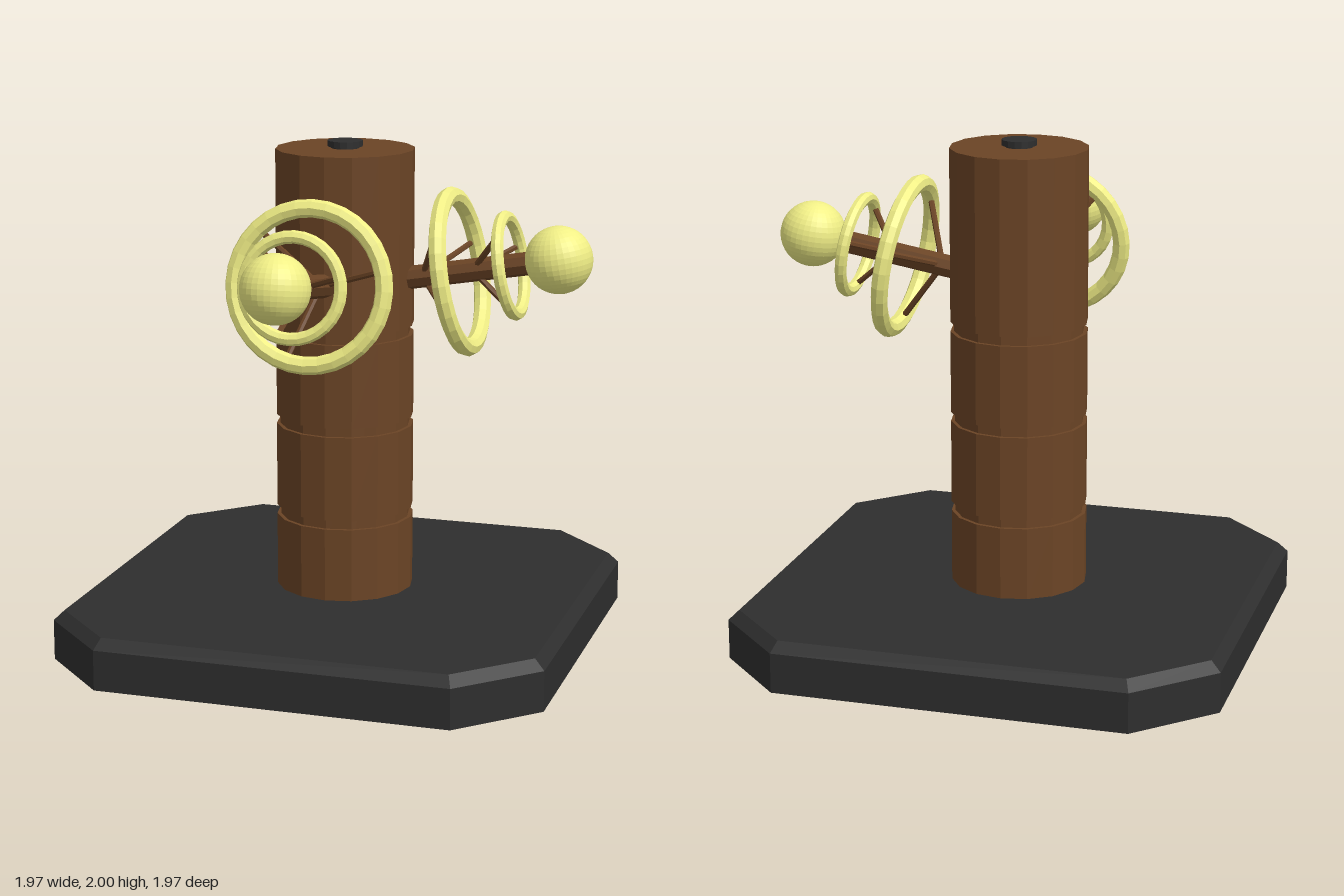
import * as THREE from 'three';

const material = (color) => new THREE.MeshStandardMaterial({ color, flatShading: true });
const wood = material(0x6b4425);
const dark = material(0x2e2e2e);
const yellow = material(0xf0ee86);

function add(parent, name, geometry, mat) {
  const mesh = new THREE.Mesh(geometry, mat);
  mesh.name = name;
  parent.add(mesh);
  return mesh;
}

// Thin rod between two points
function addRod(parent, name, from, to, radius, sides) {
  const dir = to.clone().sub(from);
  const rod = add(parent, name, new THREE.CylinderGeometry(radius, radius, dir.length(), sides), wood);
  rod.position.copy(from).addScaledVector(dir, 0.5);
  rod.quaternion.setFromUnitVectors(new THREE.Vector3(0, 1, 0), dir.normalize());
}

// Square slab with cut corners; the upper edge is chamfered
function baseGeometry() {
  const outline = (half, cut) => [
    [half, -cut], [half, cut], [cut, half], [-cut, half],
    [-half, cut], [-half, -cut], [-cut, -half], [cut, -half],
  ];
  const levels = [[0, 0.985, 0.7], [0.16, 0.985, 0.7], [0.2, 0.945, 0.683]];
  const points = [];
  for (const [y, half, cut] of levels) {
    for (const [x, z] of outline(half, cut)) points.push(x, y, z);
  }
  const index = [];
  for (let level = 0; level < 2; level++) {
    for (let i = 0; i < 8; i++) {
      const a = level * 8 + i;
      const b = level * 8 + (i + 1) % 8;
      index.push(a, a + 8, b, b, a + 8, b + 8);
    }
  }
  for (let i = 1; i < 7; i++) index.push(0, i, i + 1, 16, 16 + i + 1, 16 + i);
  const geometry = new THREE.BufferGeometry();
  geometry.setAttribute('position', new THREE.Float32BufferAttribute(points, 3));
  geometry.setIndex(index);
  const flat = geometry.toNonIndexed();
  flat.computeVertexNormals();
  return flat;
}

// Arm along +z: shaft, two rings on three struts each, and an end ball
function createArm(name) {
  const arm = new THREE.Group();
  arm.name = name;
  addRod(arm, 'shaft', new THREE.Vector3(0, 0, -0.3), new THREE.Vector3(0, 0, 0.4), 0.046, 8);

  const rings = [
    { name: 'largeRing', z: 0, radius: 0.298, tube: 0.035 },
    { name: 'smallRing', z: 0.204, radius: 0.19, tube: 0.025 },
  ];
  for (const { name: ringName, z, radius, tube } of rings) {
    add(arm, ringName, new THREE.TorusGeometry(radius, tube, 8, 32), yellow).position.z = z;
    for (let i = 0; i < 3; i++) {
      const angle = THREE.MathUtils.degToRad(15 + i * 120);
      const start = new THREE.Vector3(0, 0, z - 0.155);
      const end = new THREE.Vector3(Math.cos(angle) * radius, Math.sin(angle) * radius, z);
      addRod(arm, ringName + 'Strut', start, end, 0.012, 6);
    }
  }

  add(arm, 'endBall', new THREE.SphereGeometry(0.132, 32, 20), yellow).position.z = 0.396;
  return arm;
}

export function createModel() {
  const model = new THREE.Group();
  add(model, 'base', baseGeometry(), dark);

  // Column with three shallow grooves
  const column = new THREE.Group();
  column.name = 'column';
  column.position.set(-0.005, 0, -0.005);
  model.add(column);
  const sections = [[0.19, 0.493], [0.53, 0.868], [0.905, 1.237], [1.275, 1.97]];
  for (const [low, high] of sections) {
    add(column, 'columnSection', new THREE.CylinderGeometry(0.274, 0.274, high - low, 16), wood)
      .position.y = (low + high) / 2;
  }
  add(column, 'columnCore', new THREE.CylinderGeometry(0.259, 0.259, 1.2, 16), wood).position.y = 0.85;

  // Cap on the column
  add(column, 'capNeck', new THREE.CylinderGeometry(0.055, 0.055, 0.03, 16), dark).position.y = 1.97;
  add(column, 'cap', new THREE.CylinderGeometry(0.069, 0.069, 0.023, 16), dark).position.y = 1.9885;

  // Two matching arms, pointing forward and to the left
  for (const [name, turn] of [['frontArm', 0], ['leftArm', Math.PI / 2]]) {
    const pivot = new THREE.Group();
    pivot.name = name + 'Pivot';
    pivot.position.copy(column.position);
    pivot.rotation.y = turn;
    const arm = createArm(name);
    arm.position.set(0, 1.505, 0.47);
    arm.rotation.x = -0.172;
    pivot.add(arm);
    model.add(pivot);
  }
  return model;
}
